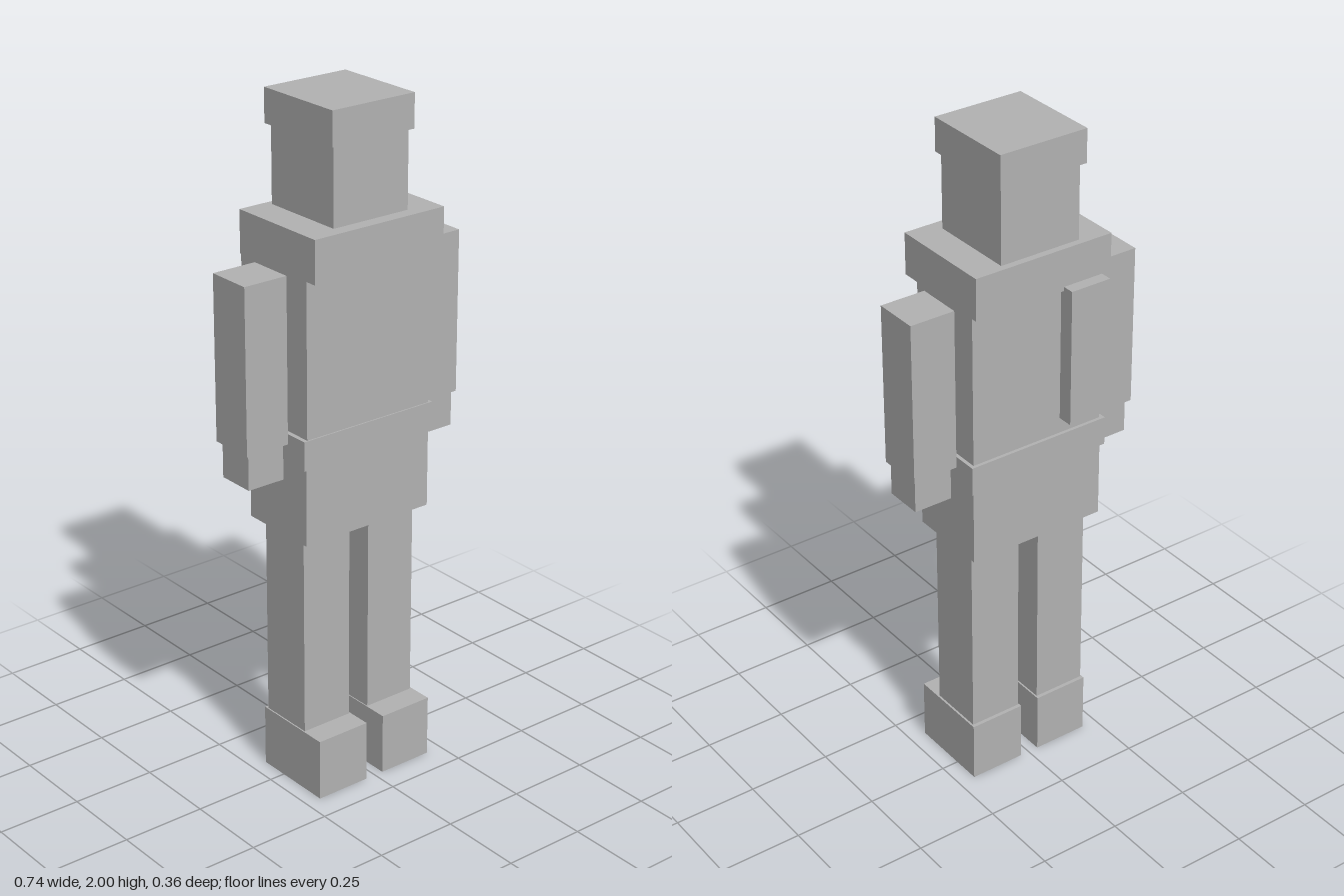
import * as THREE from 'three';

export function createModel() {
  const group = new THREE.Group();
  const grey = new THREE.MeshStandardMaterial({ color: 0xb2b2b2 });
  grey.name = 'grey';

  // Box given by its limits along each axis
  function box(name, [x0, x1], [y0, y1], [z0, z1]) {
    const mesh = new THREE.Mesh(new THREE.BoxGeometry(x1 - x0, y1 - y0, z1 - z0), grey);
    mesh.position.set((x0 + x1) / 2, (y0 + y1) / 2, (z0 + z1) / 2);
    mesh.name = name;
    group.add(mesh);
  }

  // Head and cap
  box('cap', [-0.138, 0.136], [1.902, 2], [-0.139, 0.148]);
  box('head', [-0.127, 0.124], [1.68, 1.902], [-0.125, 0.139]);

  // Body
  box('shoulders', [-0.22, 0.218], [1.556, 1.68], [-0.145, 0.178]);
  box('torso', [-0.213, 0.212], [1.1, 1.556], [-0.118, 0.133]);
  box('belt', [-0.226, 0.223], [1.016, 1.102], [-0.128, 0.137]);
  box('hips', [-0.217, 0.213], [0.788, 1.016], [-0.118, 0.133]);

  // Slim pack carried behind the right shoulder
  box('backPack', [-0.191, -0.065], [1.16, 1.568], [-0.18, -0.133]);

  // Paired limbs, set slightly off the centre line
  for (const side of [-1, 1]) {
    const label = side > 0 ? 'left' : 'right';
    const span = (inner, outer, shift) =>
      [side * inner + shift, side * outer + shift].sort((a, b) => a - b);
    box(label + 'Arm', span(0.231, 0.368, -0.001), [1.076, 1.556], [-0.064, 0.073]);
    box(label + 'Hand', span(0.241, 0.358, -0.002), [0.973, 1.076], [-0.049, 0.066]);
    box(label + 'Leg', span(0.034, 0.195, -0.003), [0.185, 0.788], [-0.075, 0.095]);
    box(label + 'Foot', span(0.03, 0.2, -0.002), [0, 0.185], [-0.086, 0.169]);
  }

  return group;
}
